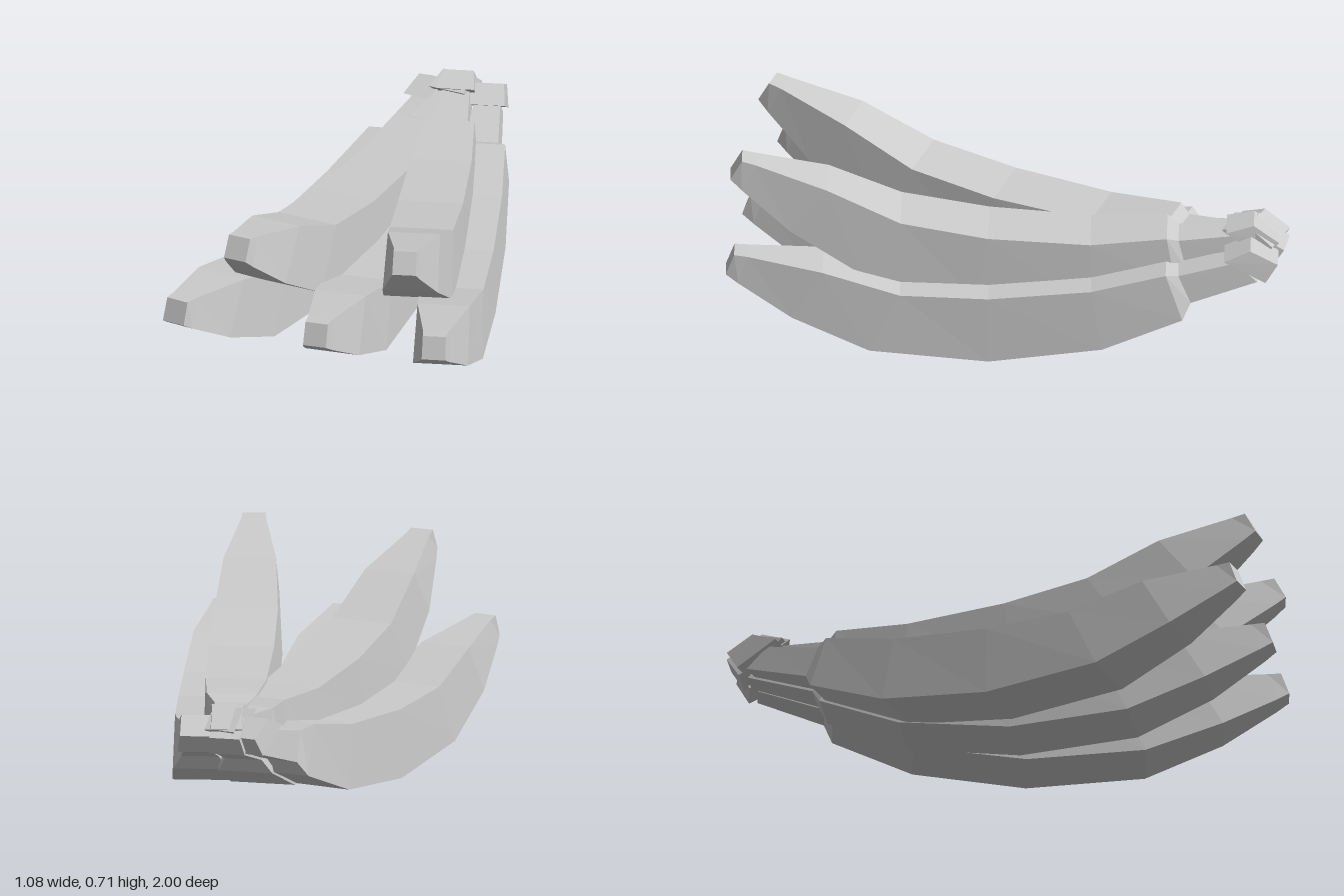
import * as THREE from 'three';

// Closed four-sided loft. Each ring: [top z, top y, top half width, bottom z, bottom y, bottom half width],
// listed from front (+z) to back.
function loft(rings) {
  const pos = [], idx = [];
  for (const [zt, yt, ht, zb, yb, hb] of rings) {
    pos.push(-ht, yt, zt, ht, yt, zt, hb, yb, zb, -hb, yb, zb);
  }
  const n = rings.length;
  for (let r = 0; r < n - 1; r++) {
    for (let k = 0; k < 4; k++) {
      const a = r * 4 + k, b = r * 4 + (k + 1) % 4;
      idx.push(a, b, b + 4, a, b + 4, a + 4);
    }
  }
  const e = (n - 1) * 4;
  idx.push(0, 2, 1, 0, 3, 2, e, e + 1, e + 2, e, e + 2, e + 3);
  const g = new THREE.BufferGeometry();
  g.setAttribute('position', new THREE.Float32BufferAttribute(pos, 3));
  g.setIndex(idx);
  const flat = g.toNonIndexed();
  flat.computeVertexNormals();
  return flat;
}

// Blossom tip, curved body, shoulder and neck
const BODY = [
  [0.97, 0.385, 0.042, 1.0, 0.305, 0.043],
  [0.92, 0.38, 0.046, 0.955, 0.275, 0.055],
  [0.65, 0.345, 0.095, 0.76, 0.16, 0.1],
  [0.37, 0.265, 0.115, 0.48, 0.04, 0.124],
  [0.05, 0.255, 0.118, 0.05, 0, 0.125],
  [-0.32, 0.285, 0.11, -0.36, 0.05, 0.118],
  [-0.59, 0.345, 0.092, -0.65, 0.165, 0.1],
  [-0.635, 0.328, 0.062, -0.68, 0.22, 0.068],
  [-0.84, 0.375, 0.048, -0.92, 0.3, 0.05],
];

// Flared cap at the end of the stem, tilted up and back
const CAP = [
  [-0.8, 0.39, 0.068, -0.95, 0.305, 0.066],
  [-0.895, 0.43, 0.056, -0.995, 0.375, 0.056],
];

// Stem position, yaw and upward pitch of each fruit
const FRUITS = [
  { name: 'middleBanana', x: 0.04, y: 0, z: 0, yaw: 0, pitch: 0 },
  { name: 'lowerRightBanana', x: -0.04, y: 0, z: 0.02, yaw: -14, pitch: 0 },
  { name: 'lowerLeftBanana', x: 0.165, y: 0, z: 0.01, yaw: 9.6, pitch: 0 },
  { name: 'upperRightBanana', x: 0.05, y: 0.035, z: 0.03, yaw: -9.5, pitch: 8.2 },
  { name: 'upperLeftBanana', x: 0.055, y: 0.042, z: 0.03, yaw: 9.7, pitch: 8.8 },
];

export function createModel() {
  const model = new THREE.Group();
  model.name = 'bananaBunch';
  const material = new THREE.MeshStandardMaterial({ color: 0xcccccc, flatShading: true });

  // Shared geometry, with its origin moved to the stem end for turning
  const pivot = new THREE.Vector3(0, 0.35, -0.9);
  const parts = { fruit: loft(BODY), stemCap: loft(CAP) };
  for (const g of Object.values(parts)) g.translate(-pivot.x, -pivot.y, -pivot.z);

  for (const f of FRUITS) {
    const banana = new THREE.Group();
    banana.name = f.name;
    for (const [name, geometry] of Object.entries(parts)) {
      const mesh = new THREE.Mesh(geometry, material);
      mesh.name = name;
      banana.add(mesh);
    }
    banana.rotation.order = 'YXZ';
    banana.rotation.y = THREE.MathUtils.degToRad(f.yaw);
    banana.rotation.x = -THREE.MathUtils.degToRad(f.pitch);
    banana.position.set(f.x, f.y, f.z).add(pivot);
    model.add(banana);
  }
  return model;
}
